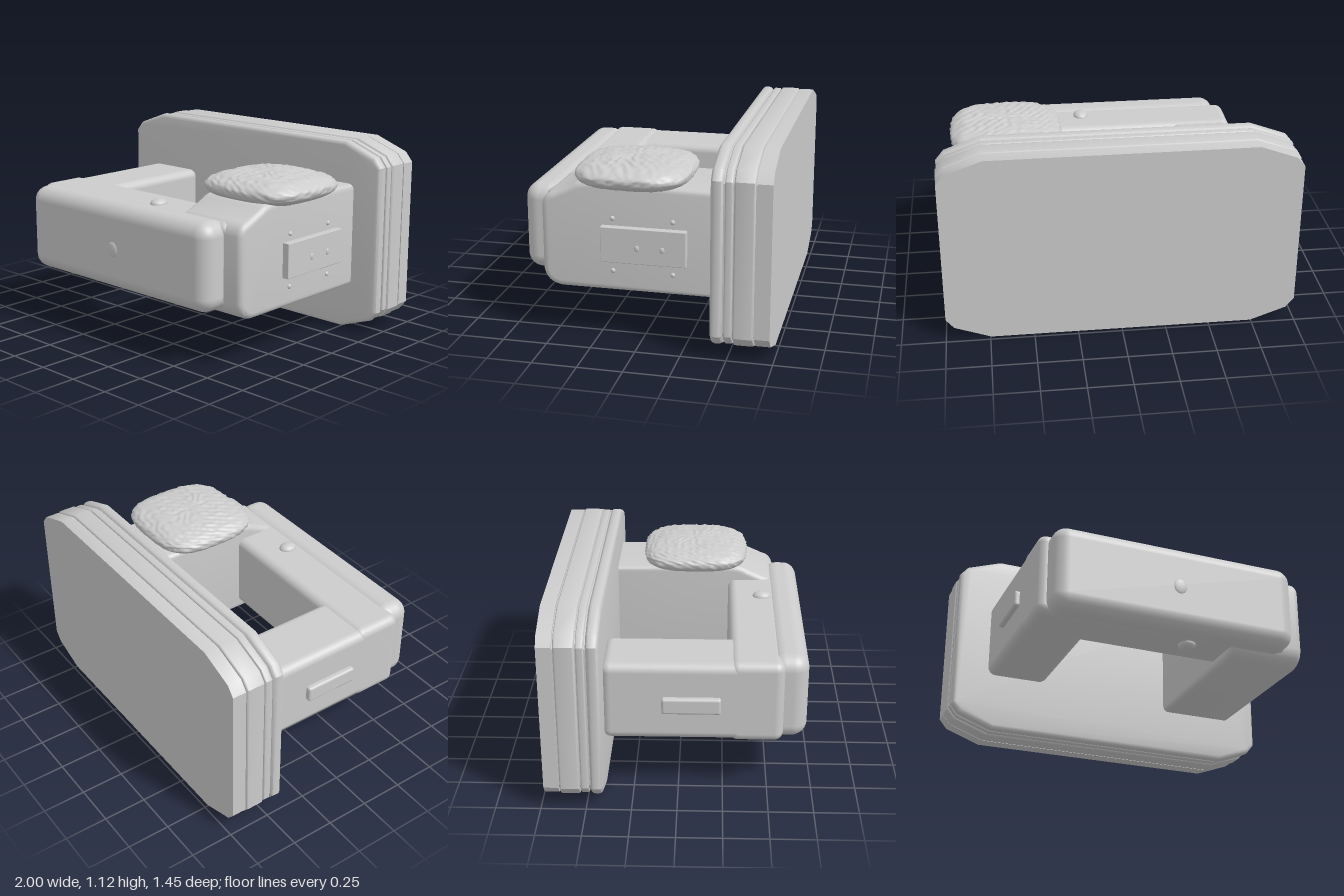
import * as THREE from 'three';
import { RoundedBoxGeometry } from 'three/addons/geometries/RoundedBoxGeometry.js';
import { toCreasedNormals, mergeVertices } from 'three/addons/utils/BufferGeometryUtils.js';

const material = new THREE.MeshStandardMaterial({ color: 0xcccccc, roughness: 0.8 });

function add(group, name, geometry) {
  const mesh = new THREE.Mesh(geometry, material);
  mesh.name = name;
  group.add(mesh);
  return mesh;
}

// Rounded box given by its min and max along each axis
function block(group, name, [x0, x1], [y0, y1], [z0, z1], radius) {
  const mesh = add(group, name, new RoundedBoxGeometry(x1 - x0, y1 - y0, z1 - z0, 5, radius));
  mesh.position.set((x0 + x1) / 2, (y0 + y1) / 2, (z0 + z1) / 2);
  return mesh;
}

// Flattened dome stud
function stud(group, name, x, y, z, rx, ry, rz) {
  const mesh = add(group, name, new THREE.SphereGeometry(1, 20, 14));
  mesh.scale.set(rx, ry, rz);
  mesh.position.set(x, y, z);
}

// Plate outline: a rectangle with two-step clipped corners
function plateShape(inset) {
  const w = 1 - inset, h = 0.56 - inset;
  const corner = [[w, h - 0.13], [w - 0.045, h - 0.075], [w - 0.25, h]];
  const quarters = [[1, 1], [-1, 1], [-1, -1], [1, -1]];
  const points = quarters.flatMap(([sx, sy]) => {
    const c = corner.map(([x, y]) => new THREE.Vector2(x * sx, y * sy));
    return sx * sy > 0 ? c : c.reverse();
  });
  return new THREE.Shape(points);
}

function plateLayer(group, name, z0, z1, inset, bevel) {
  const geometry = new THREE.ExtrudeGeometry(plateShape(inset), {
    depth: z1 - z0 - 2 * bevel, bevelEnabled: bevel > 0, bevelSize: bevel, bevelOffset: -bevel,
    bevelThickness: bevel, bevelSegments: 3,
  });
  const mesh = add(group, name, toCreasedNormals(geometry, 0.6));
  mesh.position.set(0, 0.57, z0 + bevel);
}

// Right arm: side profile (z, y) extruded across x with rounded edges
function rightArm(group) {
  const bevel = 0.035;
  const s = new THREE.Shape();
  s.moveTo(-0.45, 0.28);
  s.lineTo(0.46, 0.28);
  s.quadraticCurveTo(0.56, 0.29, 0.57, 0.38);
  s.lineTo(0.57, 0.75);
  s.quadraticCurveTo(0.56, 0.81, 0.5, 0.825);
  s.lineTo(0.4, 0.87);
  s.quadraticCurveTo(0.36, 0.9, 0.28, 0.9);
  s.lineTo(-0.45, 0.885);
  const geometry = new THREE.ExtrudeGeometry(s, {
    depth: 0.46 - 2 * bevel, bevelSize: bevel, bevelOffset: -bevel,
    bevelThickness: bevel, bevelSegments: 5, curveSegments: 8,
  });
  geometry.rotateY(-Math.PI / 2);
  geometry.translate(0.82 - bevel, 0, 0);
  add(group, 'rightArm', toCreasedNormals(geometry, 0.7));
}

// Rough square cushion: a squared-off flat ellipsoid with a pitted surface
function cushion(group) {
  let geometry = new THREE.SphereGeometry(1, 120, 70);
  geometry.deleteAttribute('uv');
  geometry.deleteAttribute('normal');
  geometry = mergeVertices(geometry, 1e-4);
  const p = geometry.attributes.position;
  for (let i = 0; i < p.count; i++) {
    const x = p.getX(i), y = p.getY(i), z = p.getZ(i);
    const r = Math.hypot(x, z);
    const square = r > 1e-5 ? r / Math.pow(Math.abs(x) ** 3.2 + Math.abs(z) ** 3.2, 1 / 3.2) : 1;
    const spread = Math.pow(r, 0.75) * square / Math.max(r, 1e-5);
    const px = x * spread, pz = z * spread;
    const n = Math.sin(px * 19 + 3 * Math.sin(pz * 11)) * Math.sin(pz * 21 + 2 * Math.sin(px * 13 + y * 7))
      + 0.5 * Math.sin(px * 37 + pz * 29 + y * 17);
    const bump = 1 + 0.012 * n;
    const h = y > 0 ? 0.075 * y : 0.085 * Math.sign(y) * Math.pow(-y, 0.8);
    p.setXYZ(i, px * 0.325 * bump, h + 0.005 * n * Math.abs(y), pz * 0.32 * bump);
  }
  geometry.computeVertexNormals();
  add(group, 'cushion', geometry).position.set(0.6, 0.935, 0.075);
}

export function createModel() {
  const model = new THREE.Group();

  // Layered back plate
  const plate = new THREE.Group();
  plate.name = 'backPlate';
  model.add(plate);
  plateLayer(plate, 'backSlab', -0.73, -0.648, 0.004, 0);
  plateLayer(plate, 'plateCore', -0.66, -0.44, 0.016, 0);
  plateLayer(plate, 'middleSlab', -0.642, -0.53, 0, 0.012);
  plateLayer(plate, 'thinSlab', -0.525, -0.482, 0.004, 0.008);
  plateLayer(plate, 'frontSlab', -0.475, -0.405, 0, 0.025);

  // Square loop standing out from the plate
  block(model, 'leftArm', [-0.8, -0.43], [0.34, 0.8], [-0.42, 0.54], 0.05);
  block(model, 'frontBar', [-0.8, 0.72], [0.33, 0.81], [0.28, 0.58], 0.05);
  rightArm(model);
  block(model, 'frontCap', [-0.75, 0.7], [0.32, 0.82], [0.5, 0.715], 0.085);

  cushion(model);
  block(model, 'cushionNeck', [0.38, 0.81], [0.78, 0.92], [-0.16, 0.34], 0.05);

  // Side panels
  block(model, 'rightPanel', [0.79, 0.86], [0.46, 0.66], [-0.25, 0.225], 0.004);
  block(model, 'leftPanel', [-0.83, -0.77], [0.515, 0.61], [-0.09, 0.235], 0.015);

  // Studs on the bar, cap and right side
  stud(model, 'topStud', 0.12, 0.81, 0.48, 0.045, 0.03, 0.055);
  stud(model, 'bottomStud', 0.12, 0.33, 0.48, 0.05, 0.035, 0.055);
  stud(model, 'capStud', -0.02, 0.56, 0.713, 0.04, 0.045, 0.01);
  for (const z of [-0.17, 0.165]) {
    for (const y of [0.4, 0.7]) stud(model, 'sideScrew', 0.82, y, z, 0.01, 0.014, 0.014);
  }
  for (const z of [-0.12, 0.02]) stud(model, 'panelScrew', 0.86, 0.55, z, 0.006, 0.018, 0.014);

  return model;
}
